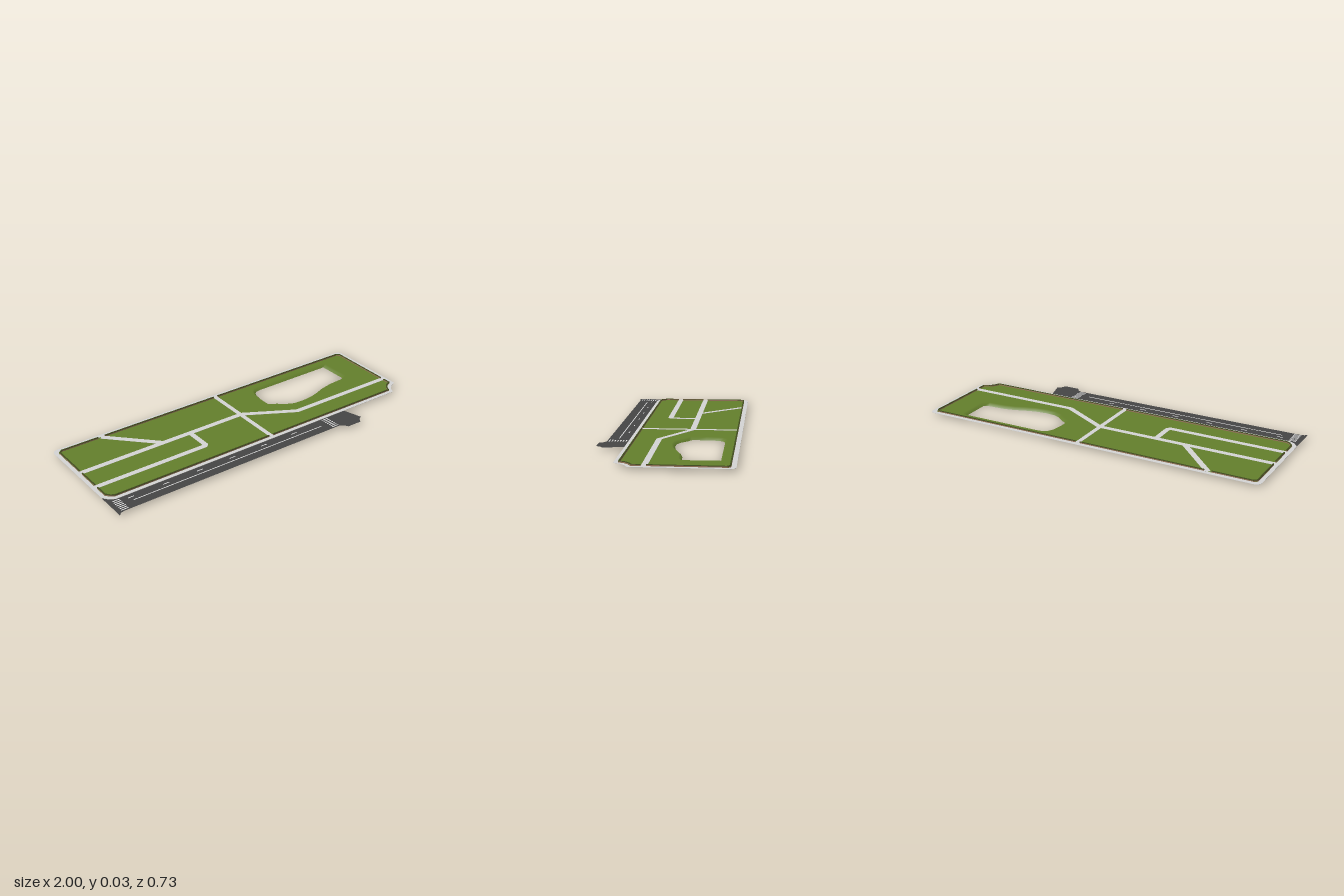
import * as THREE from 'three';

const mat = (name, color, side = THREE.FrontSide) => {
  const m = new THREE.MeshStandardMaterial({ color, side });
  m.name = name;
  return m;
};

export function createModel() {
  const park = new THREE.Group();
  park.name = 'park';
  const D = THREE.DoubleSide;
  const grass = mat('grass green', 0x647f2c, D);
  const paving = mat('paving grey', 0xd4d4d4, D);
  const asphalt = mat('asphalt', 0x464646, D);
  const paint = mat('road paint', 0xffffff);
  const brick = mat('wall brown', 0x9a775c);
  const hedge = mat('hedge green', 0x414f1f);
  const G = 0.0165; // ground level

  const add = (name, geo, material, parent = park) => {
    const m = new THREE.Mesh(geo, material);
    m.name = name;
    parent.add(m);
    return m;
  };
  const group = (name) => {
    const g = new THREE.Group();
    g.name = name;
    park.add(g);
    return g;
  };
  // [x, z] points to a shape whose y is -z
  const toVecs = (pts) => pts.map(([x, z]) => new THREE.Vector2(x, -z));
  const makeShape = (pts, hole) => {
    const s = new THREE.Shape(toVecs(pts));
    if (hole) s.holes.push(new THREE.Path(toVecs(hole)));
    return s;
  };
  const flat = (shape, y) => new THREE.ShapeGeometry(shape).rotateX(-Math.PI / 2).translate(0, y, 0);
  const slab = (shape, y, h) =>
    new THREE.ExtrudeGeometry(shape, { depth: h, bevelEnabled: false }).rotateX(-Math.PI / 2).translate(0, y, 0);
  // Straight box running from a to b on the ground plan
  const bar = (name, a, b, w, y0, y1, material, parent, extra = 0) => {
    const dx = b[0] - a[0], dz = b[1] - a[1];
    const m = add(name, new THREE.BoxGeometry(Math.hypot(dx, dz) + extra, y1 - y0, w), material, parent);
    m.position.set((a[0] + b[0]) / 2, (y0 + y1) / 2, (a[1] + b[1]) / 2);
    m.rotation.y = -Math.atan2(dz, dx);
  };
  // Moves a closed clockwise plan outline outward by d
  const offset = (pts, d) => pts.map((p, i) => {
    const n = pts.length;
    const normal = (a, b) => new THREE.Vector2(b[1] - a[1], a[0] - b[0]).normalize();
    const n1 = normal(pts[(i + n - 1) % n], p), n2 = normal(p, pts[(i + 1) % n]);
    const k = d / Math.max(0.5, 1 + n1.dot(n2));
    return [p[0] + (n1.x + n2.x) * k, p[1] + (n1.y + n2.y) * k];
  });

  // Pond rim: bottom outline, widened upward into a sloping bank
  const pondBottom = [
    [0.29, -0.278], [0.32, -0.282], [0.8, -0.284], [0.807, -0.278], [0.81, -0.11], [0.78, -0.096],
    [0.685, -0.09], [0.62, -0.077], [0.56, -0.055], [0.5, -0.038], [0.43, -0.03], [0.37, -0.034],
    [0.33, -0.052], [0.29, -0.085], [0.255, -0.105], [0.254, -0.18], [0.262, -0.24], [0.273, -0.264],
  ];
  const pondTop = offset(pondBottom, 0.017);

  // Lawn outline, and the sidewalk around it
  const lawn = [
    [-0.96, -0.342], [0.96, -0.342], [0.97, -0.338], [0.976, -0.325], [0.976, 0.128], [0.943, 0.145],
    [0.923, 0.165], [0.908, 0.196], [-0.94, 0.196], [-0.96, 0.183], [-0.978, 0.16], [-0.978, -0.325], [-0.972, -0.338],
  ];
  const outer = [
    [-0.97, -0.366], [0.97, -0.366], [0.99, -0.36], [1, -0.34], [1, 0.14], [0.962, 0.158],
    [0.935, 0.182], [0.917, 0.217], [-0.945, 0.217], [-0.975, 0.2], [-1, 0.165], [-1, -0.34], [-0.99, -0.36],
  ];
  add('lawn', flat(makeShape(lawn, pondTop), G), grass);
  add('sidewalk', slab(makeShape(outer, lawn), G - 0.0005, 0.0012), paving);

  // Sloping pond bank, shaded smoothly into the lawn at its upper edge
  const pos = [], idx = [], n = pondTop.length;
  for (let i = 0; i < n; i++) {
    const j = (i + 1) % n;
    pos.push(pondTop[i][0], G, pondTop[i][1], pondBottom[i][0], 0, pondBottom[i][1]);
    idx.push(2 * i, 2 * i + 1, 2 * j, 2 * j, 2 * i + 1, 2 * j + 1);
  }
  const bank = new THREE.BufferGeometry();
  bank.setAttribute('position', new THREE.Float32BufferAttribute(pos, 3));
  bank.setIndex(idx);
  bank.computeVertexNormals();
  for (let i = 0; i < n; i++) bank.attributes.normal.setXYZ(2 * i, 0, 1, 0);
  add('pondBank', bank, grass);

  // Footpaths, with round discs at the bends
  const paths = group('footpaths');
  const routes = [
    { w: 0.031, pts: [[-0.978, -0.092], [0.04, -0.092]] },
    { w: 0.026, pts: [[0.04, -0.342], [0.04, 0.196]] },
    { w: 0.031, pts: [[-0.715, -0.34], [-0.476, -0.096]] },
    { w: 0.03, pts: [[-0.978, 0.067], [-0.312, 0.067], [-0.301, 0.055], [-0.301, -0.091]] },
    { w: 0.03, pts: [[0.045, -0.092], [0.325, 0.064], [0.976, 0.064]] },
  ];
  for (const { w, pts } of routes) {
    for (let i = 0; i + 1 < pts.length; i++) {
      bar('footpath', pts[i], pts[i + 1], w, G + 0.0006, G + 0.0015, paving, paths);
      if (i > 0) {
        const disc = add('pathBend', new THREE.CylinderGeometry(w / 2, w / 2, 0.0009, 16), paving, paths);
        disc.position.set(pts[i][0], G + 0.00105, pts[i][1]);
      }
    }
  }

  // Boundary wall with a hedge on top, open where paths leave
  const wall = group('boundaryWall');
  const runs = [
    [[0.054, 0.191], [0.905, 0.191], [0.92, 0.16], [0.94, 0.14], [0.971, 0.124], [0.971, 0.08]],
    [[0.971, 0.052], [0.971, -0.322], [0.955, -0.338], [0.054, -0.338]],
    [[0.026, -0.338], [-0.692, -0.338]],
    [[-0.735, -0.338], [-0.956, -0.338], [-0.973, -0.322], [-0.973, -0.107]],
    [[-0.973, -0.076], [-0.973, 0.052]],
    [[-0.973, 0.082], [-0.973, 0.158], [-0.955, 0.18], [-0.937, 0.191], [0.026, 0.191]],
  ];
  for (const r of runs) {
    for (let i = 0; i + 1 < r.length; i++) {
      bar('wallBase', r[i], r[i + 1], 0.007, G, 0.0225, brick, wall, 0.002);
      bar('hedgeTop', r[i], r[i + 1], 0.007, 0.0225, 0.025, hedge, wall, 0.002);
    }
  }

  // Road with a flared junction at each end
  const road = [
    [-1, 0.17], [-0.975, 0.203], [-0.945, 0.218], [0.54, 0.218], [0.572, 0.325], [0.55, 0.338], [0.535, 0.364],
    [0.445, 0.364], [0.435, 0.342], [0.41, 0.328], [-0.96, 0.328], [-0.985, 0.333], [-1, 0.35],
  ];
  add('road', flat(makeShape(road), G - 0.0003), asphalt);

  // Lane dashes, centre line and two crossings
  const marks = group('roadMarkings');
  const mark = (name, x0, x1, z, w) => bar(name, [x0, z], [x1, z], w, G, G + 0.0006, paint, marks);
  for (let i = 0; i < 6; i++) {
    const x = -0.877 + i * 0.2065;
    mark('laneDash', x - 0.018, x + 0.018, 0.246, 0.005);
  }
  mark('centreLine', -0.88, 0.325, 0.275, 0.005);
  for (const x of [-0.953, 0.39]) {
    for (let i = 0; i < 7; i++) mark('crossingStripe', x - 0.021, x + 0.021, 0.229 + i * 0.0145, 0.006);
  }
  return park;
}
